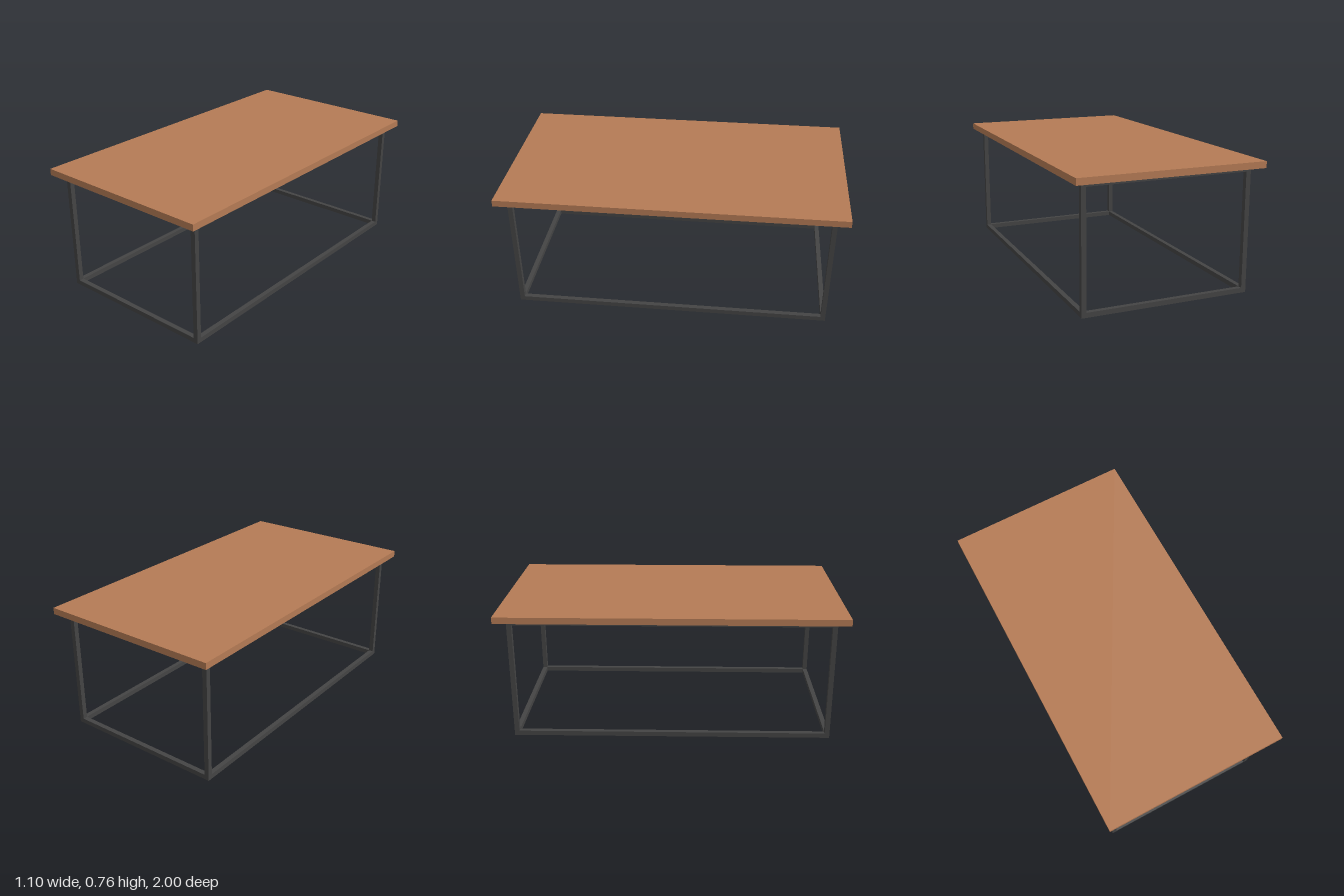
import * as THREE from 'three';

export function createModel() {
  const model = new THREE.Group();
  const wood = new THREE.MeshStandardMaterial({ color: 0xb57b55 });
  const metal = new THREE.MeshStandardMaterial({ color: 0x444444 });

  const X = 0.497, Z = 0.933;   // outer half extents of the frame
  const T = 0.028;              // bar thickness
  const BOTTOM = 0.721, TOP = 0.759; // table top underside and surface

  function box(name, material, w, h, d, x, y, z) {
    const mesh = new THREE.Mesh(new THREE.BoxGeometry(w, h, d), material);
    mesh.name = name;
    mesh.position.set(x, y, z);
    return mesh;
  }

  // Wooden slab
  model.add(box('tableTop', wood, 1.1, TOP - BOTTOM, 2, 0, (TOP + BOTTOM) / 2, 0));

  // Box frame of square bars
  const frame = new THREE.Group();
  frame.name = 'frame';
  const cx = X - T / 2, cz = Z - T / 2;
  for (const sx of [-1, 1]) {
    for (const sz of [-1, 1]) {
      frame.add(box('leg', metal, T, BOTTOM, T, sx * cx, BOTTOM / 2, sz * cz));
    }
  }
  // Rails fitted between the legs, on the floor and under the slab
  for (const [name, y] of [['bottomRail', T / 2], ['topRail', BOTTOM - T / 2 + 0.002]]) {
    for (const s of [-1, 1]) {
      frame.add(box(name, metal, 2 * (X - T), T, T, 0, y, s * cz));
      frame.add(box(name, metal, T, T, 2 * (Z - T), s * cx, y, 0));
    }
  }
  model.add(frame);
  return model;
}
